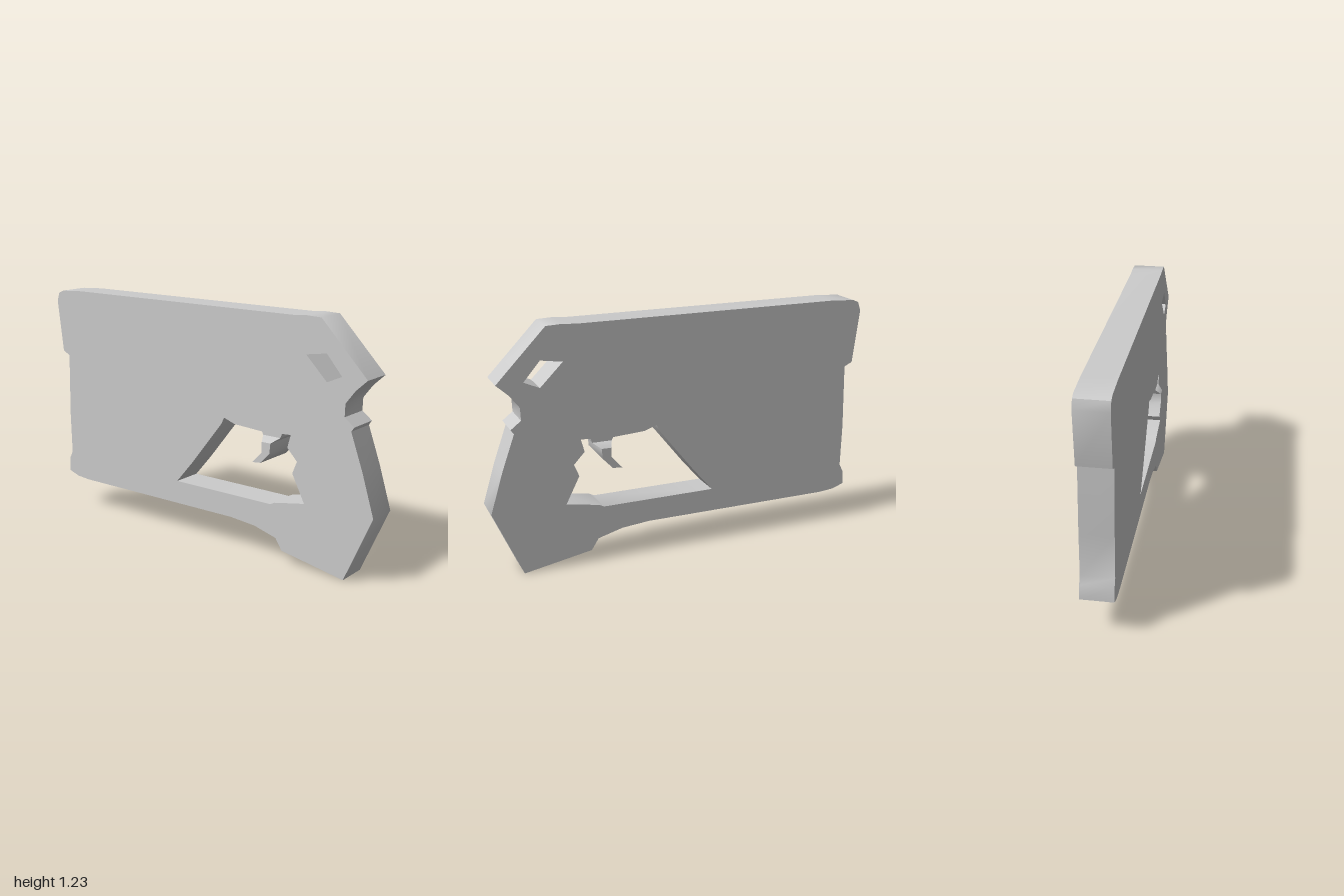
import * as THREE from 'three';
import { toCreasedNormals } from 'three/addons/utils/BufferGeometryUtils.js';

const points = (list) => list.map(([x, y]) => new THREE.Vector2(x, y));

// Extrudes a clockwise outline, centred on z = 0; holes run the other way round
function slab(outline, holes, depth) {
  const shape = new THREE.Shape(points(outline));
  for (const hole of holes) shape.holes.push(new THREE.Path(points(hole).reverse()));
  const geometry = new THREE.ExtrudeGeometry(shape, { depth, bevelEnabled: false });
  return geometry.translate(0, 0, -depth / 2);
}

function addPart(group, name, geometry) {
  const material = new THREE.MeshStandardMaterial({ color: 0xcccccc });
  const mesh = new THREE.Mesh(toCreasedNormals(geometry, 0.8), material);
  mesh.name = name;
  group.add(mesh);
}

export function createModel() {
  const group = new THREE.Group();
  group.name = 'slabPistol';

  // Flat body with barrel block, rear spur and grip in one outline
  const bodyOutline = [
    [-1, 1.16], [-0.985, 1.205], [-0.955, 1.218], [-0.82, 1.225], [0.545, 1.225],
    [0.62, 1.23], [0.697, 1.227], [0.945, 0.97], [0.885, 0.915], [0.835, 0.85],
    [0.833, 0.787], [0.885, 0.747], [0.87, 0.725], [0.935, 0.545], [1, 0.335],
    [0.853, 0], [0.505, 0.062], [0.468, 0.12], [0.34, 0.155], [0.195, 0.168],
    [-0.805, 0.168], [-0.885, 0.175], [-0.95, 0.197], [-0.945, 0.27], [-0.925, 0.31],
    [-0.93, 0.53], [-0.923, 0.865], [-0.965, 0.885],
  ];
  const triggerOpening = [
    [-0.155, 0.288], [-0.055, 0.405], [0.135, 0.645], [0.15, 0.677], [0.215, 0.655],
    [0.38, 0.645], [0.545, 0.655], [0.527, 0.59], [0.583, 0.53], [0.558, 0.468],
    [0.628, 0.33], [0.46, 0.3], [0.435, 0.287],
  ];
  const hammerOpening = [[0.62, 1.05], [0.73, 1.067], [0.813, 0.97], [0.735, 0.935]];
  addPart(group, 'body', slab(bodyOutline, [triggerOpening, hammerOpening], 0.16));

  // Trigger: a root as thick as the body, a flared neck and a wider hook
  const trigger = new THREE.Group();
  trigger.name = 'trigger';
  group.add(trigger);

  const rootOutline = [[0.38, 0.645], [0.495, 0.652], [0.487, 0.63], [0.387, 0.63]];
  addPart(trigger, 'triggerRoot', slab(rootOutline, [], 0.16));

  const neckOutline = [[0.387, 0.63], [0.487, 0.63], [0.45, 0.603], [0.4, 0.603]];
  const neck = slab(neckOutline, [], 0.22);
  const position = neck.attributes.position;
  for (let i = 0; i < position.count; i++) {
    if (position.getY(i) > 0.62) position.setZ(i, Math.sign(position.getZ(i)) * 0.08);
  }
  addPart(trigger, 'triggerNeck', neck);

  const hookOutline = [
    [0.4, 0.603], [0.45, 0.603], [0.445, 0.55], [0.395, 0.497], [0.345, 0.492], [0.4, 0.55],
  ];
  addPart(trigger, 'triggerHook', slab(hookOutline, [], 0.22));

  return group;
}
